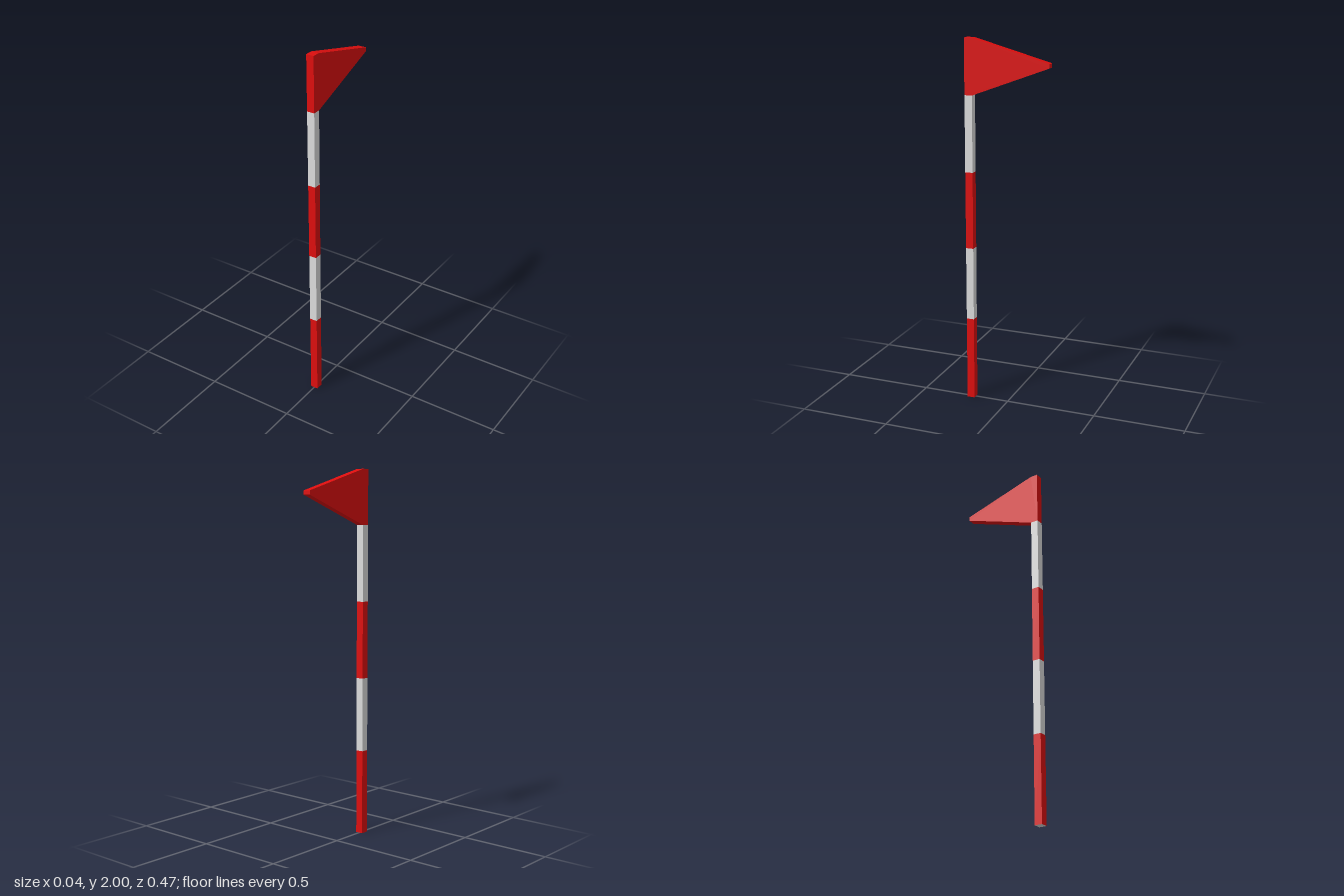
import * as THREE from 'three';

export function createModel() {
  const red = new THREE.MeshStandardMaterial({ color: 0xdd0e0e });
  red.name = 'red';
  const white = new THREE.MeshStandardMaterial({ color: 0xdcdcdc });
  white.name = 'white';

  const group = new THREE.Group();
  group.name = 'flagPole';
  const width = 0.042, back = 0.191, front = 0.233;

  // Square pole in alternating bands, with a white underside
  const levels = [0, 0.467, 0.872, 1.292, 1.703];
  for (let i = 0; i < levels.length - 1; i++) {
    const height = levels[i + 1] - levels[i];
    const color = i % 2 ? white : red;
    const sides = [color, color, color, i === 0 ? white : color, color, color];
    const band = new THREE.Mesh(new THREE.BoxGeometry(width, height, front - back), sides);
    band.position.set(0, levels[i] + height / 2, (front + back) / 2);
    band.name = 'poleBand' + (i + 1);
    group.add(band);
  }

  // Pole top and tapering pennant in one profile, pointing to the back
  const profile = new THREE.Shape([
    [-front, 1.703], [-back, 1.703], [front, 1.864],
    [front, 1.886], [-back, 2], [-front, 2],
  ].map(([x, y]) => new THREE.Vector2(x, y)));
  const geometry = new THREE.ExtrudeGeometry(profile, { depth: width, bevelEnabled: false });
  geometry.translate(0, 0, -width / 2).rotateY(Math.PI / 2);
  const pennant = new THREE.Mesh(geometry, red);
  pennant.name = 'pennant';
  group.add(pennant);

  return group;
}
